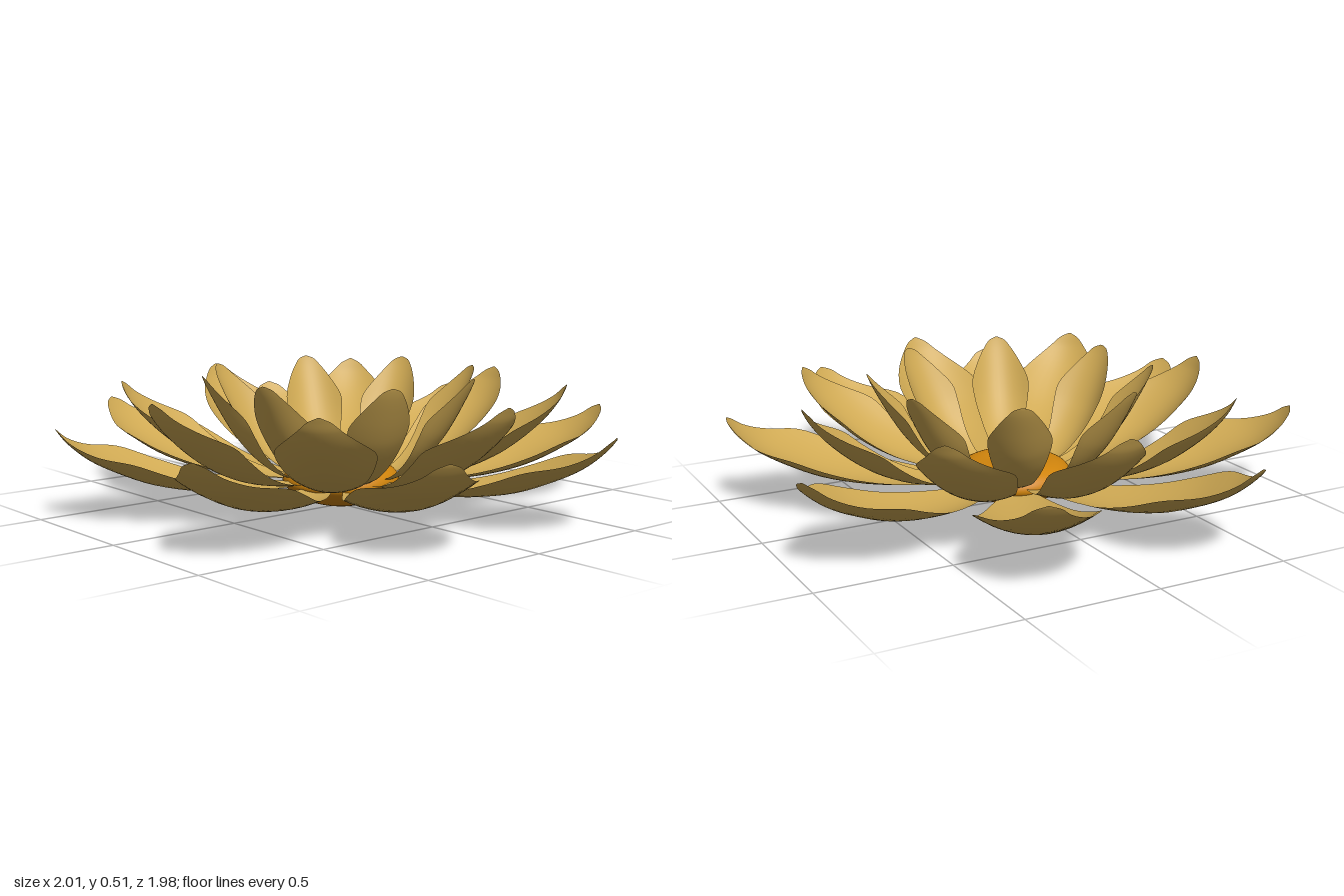
import * as THREE from 'three';

const petalMaterial = new THREE.MeshStandardMaterial({ color: 0xcfa953, side: THREE.DoubleSide });
const heartMaterial = new THREE.MeshStandardMaterial({ color: 0xd0840c, side: THREE.DoubleSide });

// Each stop along a petal's spine is [distance from centre, height, half width].
// Turns (degrees) and sizes give the eight petals of a ring their slight irregularity.
const rings = [
  {
    name: 'outerPetal', offset: 0.5, cup: 0.07,
    turns: [2, 0.8, -1.7, -2, 0, 0, -1, -1],
    sizes: [1.01, 0.985, 1.005, 1, 1, 0.985, 1.005, 0.995],
    stops: [[0.19, 0.085, 0.055], [0.36, 0.08, 0.115], [0.55, 0.088, 0.17], [0.72, 0.12, 0.207], [0.85, 0.17, 0.205],
      [0.95, 0.222, 0.15], [1.025, 0.285, 0.08], [1.057, 0.325, 0.042], [1.067, 0.342, 0.004]],
  },
  {
    name: 'middlePetal', offset: 0, cup: 0.07,
    turns: [0, 0, 1, 2, 0, 1.8, -1.3, 0],
    sizes: [0.99, 1.015, 1, 1, 0.985, 1, 0.99, 0.99],
    stops: [[0.19, 0.1, 0.045], [0.3, 0.11, 0.078], [0.45, 0.14, 0.126], [0.58, 0.195, 0.162], [0.67, 0.255, 0.172],
      [0.76, 0.335, 0.13], [0.815, 0.405, 0.075], [0.835, 0.445, 0.038], [0.843, 0.463, 0.004]],
  },
  {
    name: 'innerPetal', offset: 0.5, cup: 0.05,
    turns: [-3, 1.2, 0, 2.5, 0, -2.5, 0.5, 0],
    sizes: [0.98, 1.01, 0.99, 1.01, 1.02, 1.01, 1, 0.98],
    stops: [[0.2, 0.11, 0.045], [0.26, 0.135, 0.06], [0.34, 0.195, 0.085], [0.41, 0.275, 0.108], [0.45, 0.335, 0.113],
      [0.495, 0.415, 0.083], [0.523, 0.47, 0.052], [0.535, 0.498, 0.03], [0.539, 0.51, 0.004]],
  },
];

// A cupped leaf: a plane bent along the spine, its sides lifted along the spine's normal.
function petalGeometry({ stops, cup }) {
  const curve = new THREE.CatmullRomCurve3(stops.map(s => new THREE.Vector3(...s)));
  const widest = Math.max(...stops.map(s => s[2]));
  const geometry = new THREE.PlaneGeometry(1, 1, 12, 32);
  const pos = geometry.attributes.position;
  for (let i = 0; i < pos.count; i++) {
    const side = pos.getX(i) * 2;
    const t = THREE.MathUtils.clamp(pos.getY(i) + 0.5, 0, 1);
    const p = curve.getPoint(t);
    const tangent = curve.getTangent(t);
    const slope = new THREE.Vector2(tangent.x, tangent.y).normalize();
    const lift = cup * (side * p.z / widest) ** 2;
    pos.setXYZ(i, -side * p.z, p.y + slope.x * lift, p.x - slope.y * lift);
  }
  geometry.computeVertexNormals();
  return geometry;
}

// Round heart with a dimple on top
function heartGeometry() {
  const profile = new THREE.SplineCurve([
    [0, 0], [0.08, 0.008], [0.16, 0.035], [0.21, 0.075], [0.22, 0.105],
    [0.2, 0.138], [0.15, 0.16], [0.09, 0.16], [0.04, 0.14], [0, 0.13],
  ].map(p => new THREE.Vector2(...p)));
  const points = profile.getPoints(48);
  points.forEach(p => { p.x = Math.max(p.x, 0); });
  return new THREE.LatheGeometry(points, 48);
}

export function createModel() {
  const flower = new THREE.Group();
  flower.name = 'flower';

  const heart = new THREE.Mesh(heartGeometry(), heartMaterial);
  heart.name = 'heart';
  flower.add(heart);

  // Three rings of eight petals
  for (const ring of rings) {
    const geometry = petalGeometry(ring);
    for (let i = 0; i < 8; i++) {
      const petal = new THREE.Mesh(geometry, petalMaterial);
      petal.name = ring.name;
      petal.rotation.y = (i + ring.offset) * Math.PI / 4 + THREE.MathUtils.degToRad(ring.turns[i]);
      petal.scale.set(1, 1, ring.sizes[i]);
      flower.add(petal);
    }
  }
  return flower;
}
